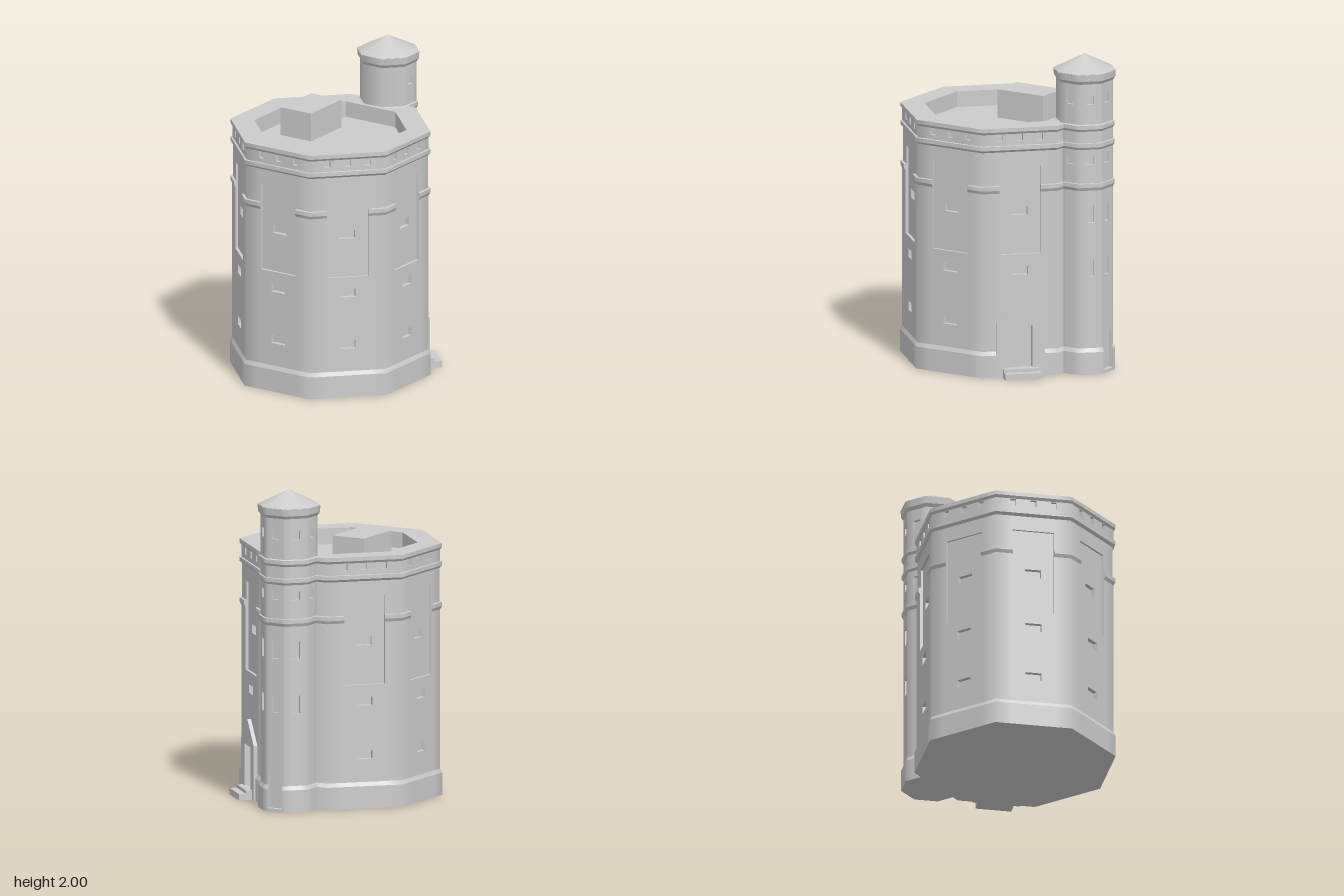
import * as THREE from 'three';

const HALF = Math.PI / 8, TAN = Math.tan(HALF), COS = Math.cos(HALF);
const MAIN_Z = 0.1075, TURRET_X = 0.008, TURRET_Z = -0.515;

// Wall profiles as [height, distance from the axis to the wall face]
const MAIN = [[0, 0.585], [0.14, 0.585], [0.165, 0.573], [1.165, 0.573], [1.185, 0.583], [1.21, 0.583],
  [1.212, 0.568], [1.425, 0.568], [1.44, 0.583], [1.465, 0.583], [1.467, 0.572], [1.54, 0.572],
  [1.555, 0.583], [1.58, 0.583]];
const TURRET = [[0, 0.178], [0.14, 0.178], [0.165, 0.165], [1.165, 0.165], [1.185, 0.175], [1.21, 0.175],
  [1.212, 0.165], [1.425, 0.165], [1.44, 0.175], [1.465, 0.175], [1.467, 0.165], [1.54, 0.165],
  [1.555, 0.175], [1.58, 0.175], [1.585, 0.165], [1.84, 0.165], [1.86, 0.178], [1.905, 0.182]];

// A rectangular recess, either at a fixed plane or cut deeper than its surroundings
const recess = (u, w, y0, y1, opts) => ({ u0: u - w / 2, u1: u + w / 2, y0, y1, ...opts });

function depthAt(profile, y) {
  for (let i = 1; i < profile.length; i++) {
    const [ya, da] = profile[i - 1], [yb, db] = profile[i];
    if (y <= yb) return da + (db - da) * (y - ya) / (yb - ya);
  }
  return profile[profile.length - 1][1];
}

const sortedUnique = (list) => [...new Set(list.map((v) => +v.toFixed(4)))].sort((a, b) => a - b);

// One side of an octagonal wall with its recesses; normals bend round at the corners
function wallFace(profile, recesses) {
  const pos = [], nor = [];
  const us = [-Infinity, ...sortedUnique(recesses.flatMap((r) => [r.u0, r.u1])), Infinity];
  const ys = sortedUnique([...profile.map((p) => p[0]), ...recesses.flatMap((r) => [r.y0, r.y1])]);

  const quad = (pts, normals) => {
    if (!normals) {
      const [a, b, c] = pts.map((p) => new THREE.Vector3(...p));
      const n = b.sub(a).cross(c.sub(a)).normalize().toArray();
      normals = [n, n, n, n];
    }
    for (const k of [0, 1, 2, 0, 2, 3]) { pos.push(...pts[k]); nor.push(...normals[k]); }
  };
  const cellDepth = (j, i, y) => {
    let d = depthAt(profile, y);
    const um = (us[j] + us[j + 1]) / 2, ym = (ys[i] + ys[i + 1]) / 2;
    for (const r of recesses) {
      if (um > r.u0 && um < r.u1 && ym > r.y0 && ym < r.y1) d = r.plane ?? d - r.cut;
    }
    return d;
  };
  const uAt = (j, d) => (Number.isFinite(us[j]) ? us[j] : Math.sign(us[j]) * d * TAN);

  for (let i = 0; i < ys.length - 1; i++) {
    for (let j = 0; j < us.length - 1; j++) {
      const y0 = ys[i], y1 = ys[i + 1];
      const a = cellDepth(j, i, y0), b = cellDepth(j, i, y1);
      const len = Math.hypot(y1 - y0, b - a), out = (y1 - y0) / len, up = (a - b) / len;
      const normal = (k) => (Number.isFinite(us[k])
        ? [0, up, out] : [Math.sign(us[k]) * Math.sin(HALF) * out, up, COS * out]);
      const nl = normal(j), nr = normal(j + 1);
      quad([[uAt(j, a), y0, a], [uAt(j + 1, a), y0, a], [uAt(j + 1, b), y1, b], [uAt(j, b), y1, b]],
        [nl, nr, nr, nl]);
      // side reveal towards the next column
      if (j < us.length - 2) {
        const c = cellDepth(j + 1, i, y0), e = cellDepth(j + 1, i, y1), u = us[j + 1];
        if (Math.abs(a - c) + Math.abs(b - e) > 1e-4) quad([[u, y0, a], [u, y0, c], [u, y1, e], [u, y1, b]]);
      }
      // sill or lintel towards the next row
      if (i < ys.length - 2) {
        const c = cellDepth(j, i + 1, y1);
        if (Math.abs(b - c) > 1e-4) {
          quad([[us[j], y1, b], [us[j + 1], y1, b], [us[j + 1], y1, c], [us[j], y1, c]]);
        }
      }
    }
  }
  const g = new THREE.BufferGeometry();
  g.setAttribute('position', new THREE.Float32BufferAttribute(pos, 3));
  g.setAttribute('normal', new THREE.Float32BufferAttribute(nor, 3));
  return g;
}

export function createModel() {
  const stone = new THREE.MeshStandardMaterial({ color: 0xcccccc });
  stone.name = 'stone';
  const model = new THREE.Group();
  model.name = 'tower';

  const add = (parent, name, geometry, x = 0, y = 0, z = 0, ry = 0) => {
    const m = new THREE.Mesh(geometry, stone);
    m.name = name;
    m.position.set(x, y, z);
    m.rotation.y = ry;
    parent.add(m);
    return m;
  };
  const group = (name, x, z, ry = 0) => {
    const g = new THREE.Group();
    g.name = name;
    g.position.set(x, 0, z);
    g.rotation.y = ry;
    model.add(g);
    return g;
  };
  const base = (d) => new THREE.CircleGeometry(d / COS, 8, HALF).rotateX(Math.PI / 2);

  // Main keep: side 3 holds the entrance, side 4 is covered by the turret
  const keep = group('keep', 0, MAIN_Z);
  for (let i = 0; i < 8; i++) {
    const list = [];
    if (i !== 4) {
      list.push(recess(0, 0.26, 0.775, 1.33, { plane: 0.555 }));
      for (const y of [1.02, 0.645, 0.31]) {
        if (i !== 3 || y > 0.4) list.push(recess(0, 0.1, y, y + 0.053, { cut: 0.028 }));
      }
      for (const u of [-0.127, 0, 0.127]) list.push(recess(u, 0.036, 1.495, 1.537, { cut: 0.022 }));
      if (i === 3) list.push(recess(0, 0.148, 0.05, 0.325, { plane: 0.55 }));
    }
    add(keep, 'keepWall', wallFace(MAIN, list), 0, 0, 0, i * Math.PI / 4);
  }
  add(keep, 'keepBase', base(0.585));

  // Parapet top, its inner wall and the sunken roof
  const rim = [[0.583, 1.58], [0.443, 1.58], [0.443, 1.48], [0, 1.48]]
    .map(([d, y]) => new THREE.Vector2(d / COS, y));
  const roof = new THREE.LatheGeometry(rim, 8).toNonIndexed();
  roof.computeVertexNormals();
  add(keep, 'parapetAndRoof', roof, 0, 0, 0, HALF);
  add(model, 'roofHut', new THREE.BoxGeometry(0.226, 0.18, 0.336), -0.202, 1.57, 0.022);

  // Stair turret
  const turret = group('turret', TURRET_X, TURRET_Z);
  for (let i = 0; i < 8; i++) {
    const list = [];
    if (i >= 2 && i <= 6) {
      for (const y of [1.33, 1.71]) list.push(recess(0, 0.052, y, y + 0.055, { cut: 0.018 }));
    }
    if (i >= 3 && i <= 5) {
      for (const y of [0.62, 0.96]) list.push(recess(0, 0.052, y, y + 0.11, { cut: 0.018 }));
    }
    if (i === 4) list.push(recess(0, 0.1, 0.02, 0.26, { plane: 0.148 }));
    add(turret, 'turretWall', wallFace(TURRET, list), 0, 0, 0, i * Math.PI / 4);
  }
  add(turret, 'turretBase', base(0.178));
  add(turret, 'turretCap', new THREE.ConeGeometry(0.183 / COS, 0.097, 8, 1, true), 0, 1.9515, 0, HALF);

  // Gabled entrance surround and its two steps
  const entrance = group('entrance', 0, MAIN_Z, 3 * Math.PI / 4);
  const gable = new THREE.Shape([[-0.152, 0], [0.152, 0], [0.152, 0.345], [0, 0.487], [-0.152, 0.345]]
    .map((p) => new THREE.Vector2(...p)));
  gable.holes.push(new THREE.Path([[-0.074, 0.05], [-0.074, 0.325], [0.074, 0.325], [0.074, 0.05]]
    .map((p) => new THREE.Vector2(...p))));
  add(entrance, 'doorSurround', new THREE.ExtrudeGeometry(gable, { depth: 0.027, bevelEnabled: false }), 0, 0, 0.57);
  add(entrance, 'upperStep', new THREE.BoxGeometry(0.226, 0.06, 0.06), 0, 0.03, 0.605);
  add(entrance, 'lowerStep', new THREE.BoxGeometry(0.226, 0.04, 0.045), 0, 0.02, 0.6575);

  return model;
}
